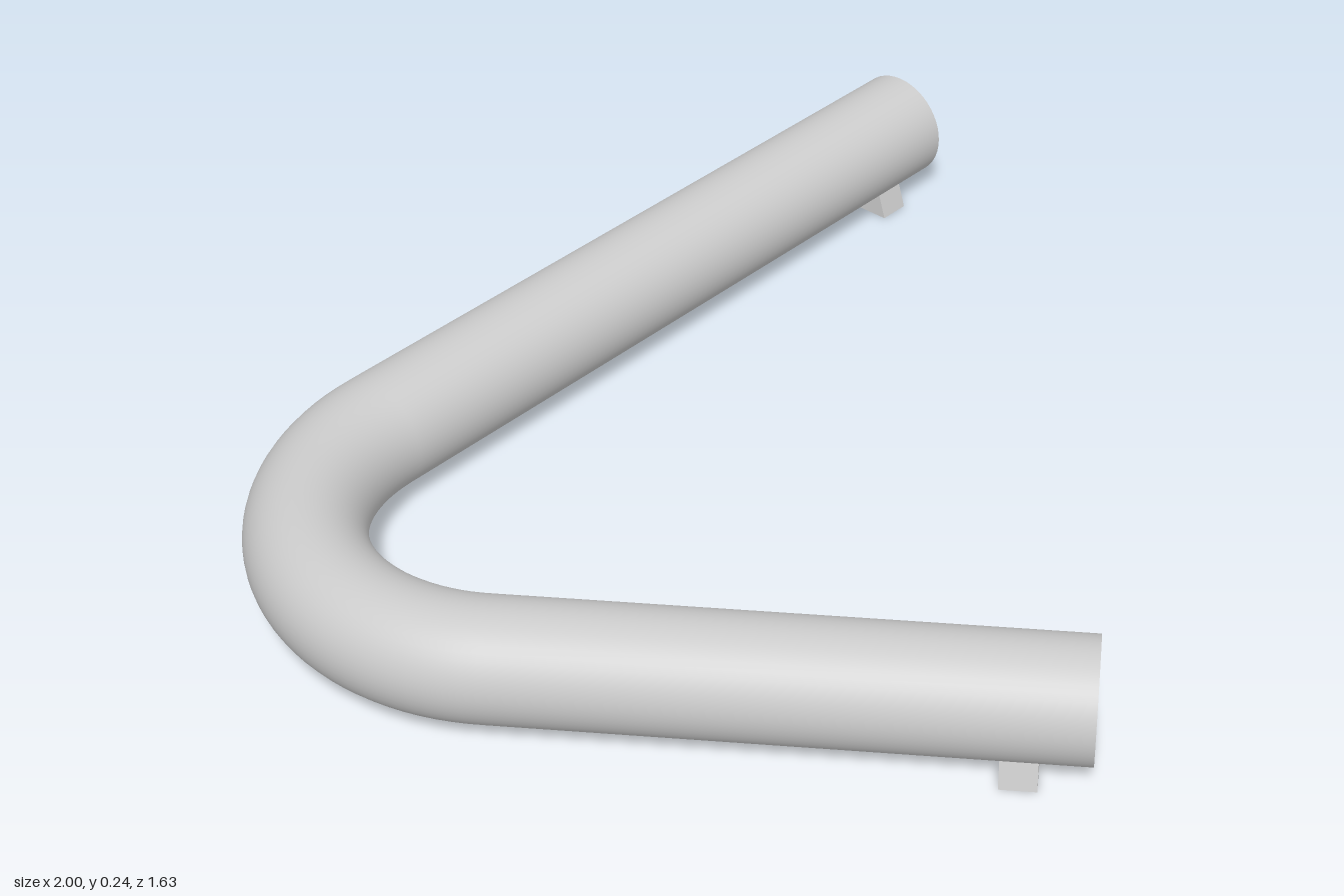
import * as THREE from 'three';

const RADIUS = 0.11, WALL = 0.006, AXIS_Y = 0.13;
const BEND = 0.395, BEND_X = -0.495, BEND_Z = -0.31; // bend radius and centre
const LEAN = 0.607; // heading of the short arm, measured from +z
const ARM = 1.02; // straight length of the short arm

// Centre line of the pipe: straight arm, round bend, straight arm (drawn in x, z)
class PipeLine extends THREE.Curve {
  constructor() {
    super();
    this.path = new THREE.Path();
    this.path.moveTo(1, BEND_Z - BEND);
    this.path.lineTo(BEND_X, BEND_Z - BEND);
    this.path.absarc(BEND_X, BEND_Z, BEND, -Math.PI / 2, -Math.PI - LEAN, true);
    const p = this.path.currentPoint;
    this.path.lineTo(p.x + ARM * Math.sin(LEAN), p.y + ARM * Math.cos(LEAN));
  }
  getPoint(t, target = new THREE.Vector3()) {
    const p = this.path.getPoint(t);
    return target.set(p.x, AXIS_Y, p.y);
  }
}

export function createModel() {
  const model = new THREE.Group();
  const grey = new THREE.MeshStandardMaterial({ color: 0xcccccc });
  const greyInside = new THREE.MeshStandardMaterial({ color: 0xcccccc, side: THREE.BackSide });
  const add = (parent, name, geometry, material = grey) => {
    const mesh = new THREE.Mesh(geometry, material);
    mesh.name = name;
    parent.add(mesh);
    return mesh;
  };

  // Hollow bent pipe
  const line = new PipeLine();
  add(model, 'pipeOuterWall', new THREE.TubeGeometry(line, 140, RADIUS, 48));
  add(model, 'pipeInnerWall', new THREE.TubeGeometry(line, 140, RADIUS - WALL, 48), greyInside);

  // Each open end: rim ring and a pair of wedge feet; local +z points out of the pipe
  const ends = [['longArmEnd', 0, Math.PI / 2], ['shortArmEnd', 1, LEAN]];
  for (const [name, t, turn] of ends) {
    const end = new THREE.Group();
    end.name = name;
    end.position.copy(line.getPoint(t)).setY(0);
    end.rotation.y = turn;
    model.add(end);

    add(end, 'rim', new THREE.RingGeometry(RADIUS - WALL, RADIUS, 48)).position.y = AXIS_Y;

    for (const side of [-1, 1]) {
      const profile = new THREE.Shape(
        [[0.02, 0], [0.09, 0], [0.075, 0.052], [0.02, 0.025]].map(([x, y]) => new THREE.Vector2(side * x, y)));
      const foot = new THREE.ExtrudeGeometry(profile, { depth: 0.065, bevelEnabled: false });
      add(end, side > 0 ? 'footA' : 'footB', foot).position.z = -0.155;
    }
  }
  return model;
}
